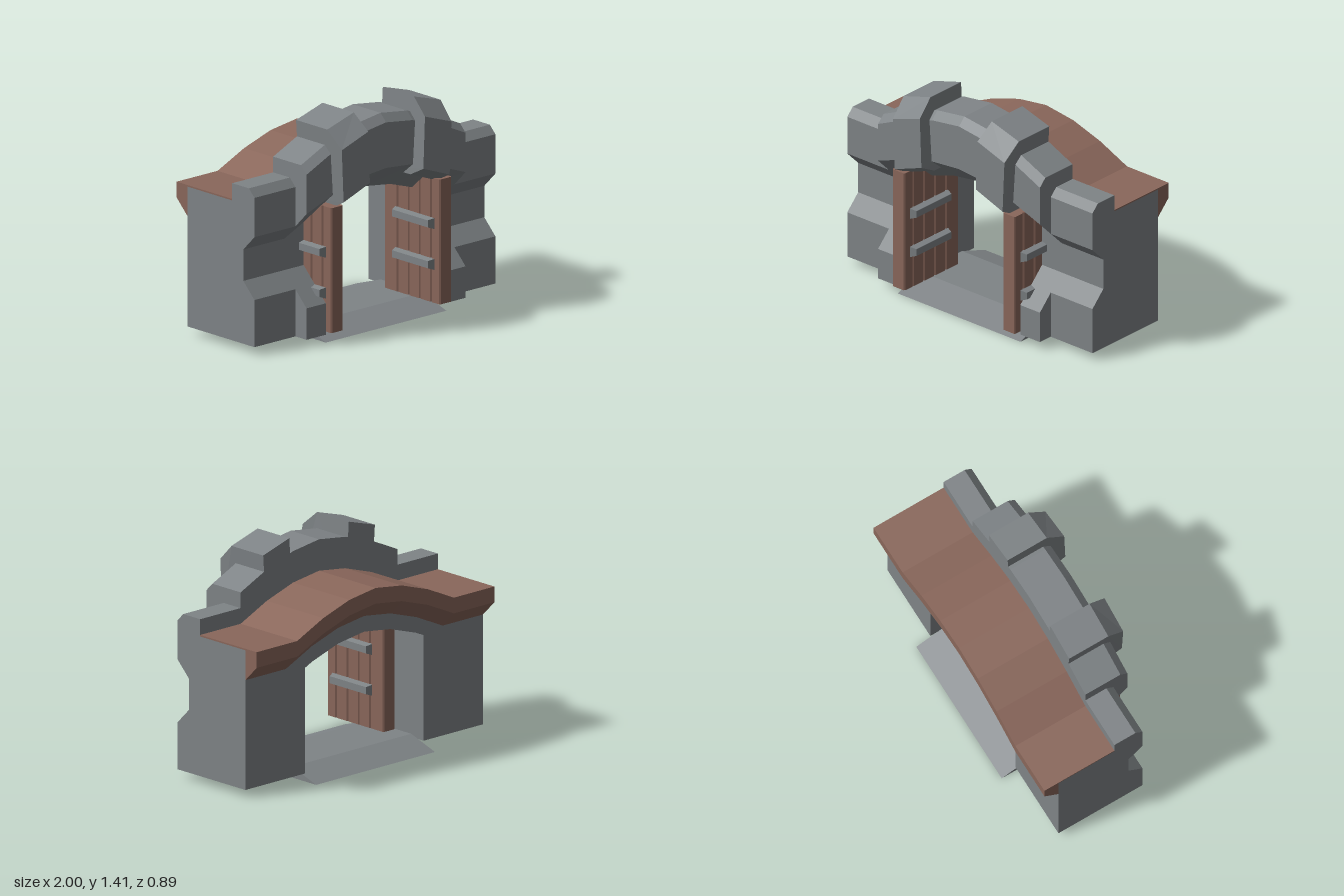
import * as THREE from 'three';

const stone = new THREE.MeshStandardMaterial({ color: 0x7f8487 });
stone.name = 'grey stone';
const wood = new THREE.MeshStandardMaterial({ color: 0x8a675b });
wood.name = 'brown wood';

// Cross-section at one x from [z, y] points
const ring = (x, pts) => pts.map(([z, y]) => [x, y, z]);
const rect = (x, y0, y1, z0, z1) => ring(x, [[z0, y0], [z0, y1], [z1, y1], [z1, y0]]);

// Closed, flat-shaded skin over cross-sections that follow each other along x
function loft(name, material, rings) {
  const tris = [];
  const n = rings[0].length;
  for (let i = 0; i < rings.length - 1; i++) {
    for (let j = 0; j < n; j++) {
      const k = (j + 1) % n;
      const a = rings[i][j], b = rings[i][k], c = rings[i + 1][k], d = rings[i + 1][j];
      tris.push([a, b, c], [a, c, d]);
    }
  }
  const first = rings[0], last = rings[rings.length - 1];
  const contour = r => r.map(p => new THREE.Vector2(p[2], p[1]));
  // Cap winding follows the ring direction
  const capFaces = r => {
    const flip = THREE.ShapeUtils.isClockWise(contour(r));
    const faces = THREE.ShapeUtils.triangulateShape(contour(r), []);
    return faces.map(f => {
      const [p, q, s] = f.map(i => r[i]);
      const area = (q[2] - p[2]) * (s[1] - p[1]) - (q[1] - p[1]) * (s[2] - p[2]);
      return (area < 0) === flip ? [p, q, s] : [p, s, q];
    });
  };
  capFaces(first).forEach(([a, b, c]) => tris.push([a, c, b]));
  capFaces(last).forEach(t => tris.push(t));

  // Turn everything outward if the enclosed volume is negative
  let volume = 0;
  for (const [a, b, c] of tris) {
    volume += new THREE.Vector3(...a).dot(new THREE.Vector3(...b).cross(new THREE.Vector3(...c)));
  }
  const out = volume < 0 ? tris.map(([a, b, c]) => [a, c, b]) : tris;
  const geo = new THREE.BufferGeometry();
  geo.setAttribute('position', new THREE.Float32BufferAttribute(out.flat(2), 3));
  geo.computeVertexNormals();
  const mesh = new THREE.Mesh(geo, material);
  mesh.name = name;
  return mesh;
}

export function createModel() {
  const model = new THREE.Group();
  model.name = 'gatehouse';
  const mirrored = half => [...half, ...half.slice(0, -1).reverse().map(([x, ...r]) => [-x, ...r])];

  // Curved top of the arch: x, top height, drop to the front lip
  const curve = mirrored([[0.66, 1.15, 0.3], [0.44, 1.25, 0.32], [0.22, 1.32, 0.33], [0, 1.35, 0.34]]);
  model.add(loft('arch', stone, curve.map(([x, t, lip]) => ring(x, [
    [0.05, t], [0.3, t], [0.35, t - 0.05], [0.35, t - lip], [0.15, t - 0.5],
    [-0.35, t - 0.5], [-0.35, t - 0.21], [0.05, t - 0.21],
  ]))));

  // Roof covering with a thick overhanging back edge
  const roofLine = [[1, 0.95], ...curve.map(([x, t]) => [x, t - 0.2]), [-1, 0.95]];
  model.add(loft('roof', wood, roofLine.map(([x, r]) => ring(x, [
    [0.05, r], [-0.45, r], [-0.45, r - 0.1], [-0.35, r - 0.2], [-0.35, r - 0.01], [0.05, r - 0.01],
  ]))));

  // Sloped threshold
  const slab = [[0.35, 0], [0.14, 0.07], [-0.24, 0.07], [-0.45, 0]];
  model.add(loft('threshold', stone, [ring(-0.5, slab), ring(0.5, slab)]));

  const outerWall = [
    [-0.35, 0.05], [0.25, 0.05], [0.25, 0.35], [0.15, 0.45], [0.15, 0.65], [0.25, 0.75],
    [0.25, 1], [0.2, 1.05], [0.05, 1.05], [0.05, 0.94], [-0.35, 0.94],
  ];
  const innerPillar = [[-0.35, 0.05], [0.35, 0.05], [0.35, 0.25], [0.15, 0.45], [0.15, 0.75], [-0.35, 0.75]];

  // Raised arch block: inner and outer side
  const blockInner = [
    [0.25, 1.41, 0.05], [0.25, 1.41, 0.33], [0.235, 1.31, 0.445],
    [0.222, 0.98, 0.445], [0.22, 0.92, 0.33], [0.22, 0.92, 0.05],
  ];
  const blockOuter = [
    [0.47, 1.345, 0.05], [0.47, 1.345, 0.33], [0.455, 1.235, 0.445],
    [0.44, 0.9, 0.445], [0.435, 0.84, 0.33], [0.435, 0.84, 0.05],
  ];
  const plankEdges = [0.4, 0.32, 0.22, 0.12, 0.02, -0.1];

  for (const s of [1, -1]) {
    const side = new THREE.Group();
    side.name = s > 0 ? 'leftSide' : 'rightSide';
    const add = (name, mat, rings) =>
      side.add(loft(name, mat, rings.map(r => r.map(([x, y, z]) => [s * x, y, z]))));

    add('outerWall', stone, [ring(0.66, outerWall), ring(1, outerWall)]);
    add('innerPillar', stone, [ring(0.5, innerPillar), ring(0.66, innerPillar)]);
    add('archBlock', stone, [blockInner, blockOuter]);

    // Open door: bevelled planks
    for (let i = 0; i < plankEdges.length - 1; i++) {
      const z1 = plankEdges[i], z0 = plankEdges[i + 1], b = 0.008;
      add('doorPlank', wood, [
        rect(0.4, 0.07, 0.865, z0 + b, z1 - b), rect(0.408, 0.07, 0.865, z0, z1),
        rect(0.492, 0.07, 0.865, z0, z1), rect(0.5, 0.07, 0.865, z0 + b, z1 - b),
      ]);
    }
    // Tapered bars across the door
    for (const y of [0.28, 0.54]) {
      add('doorBar', stone, [
        rect(0.36, y + 0.015, y + 0.06, 0.015, 0.335), rect(0.4, y, y + 0.07, 0, 0.35),
        rect(0.5, y, y + 0.07, 0, 0.35), rect(0.54, y + 0.015, y + 0.06, 0.015, 0.335),
      ]);
    }
    model.add(side);
  }
  return model;
}
